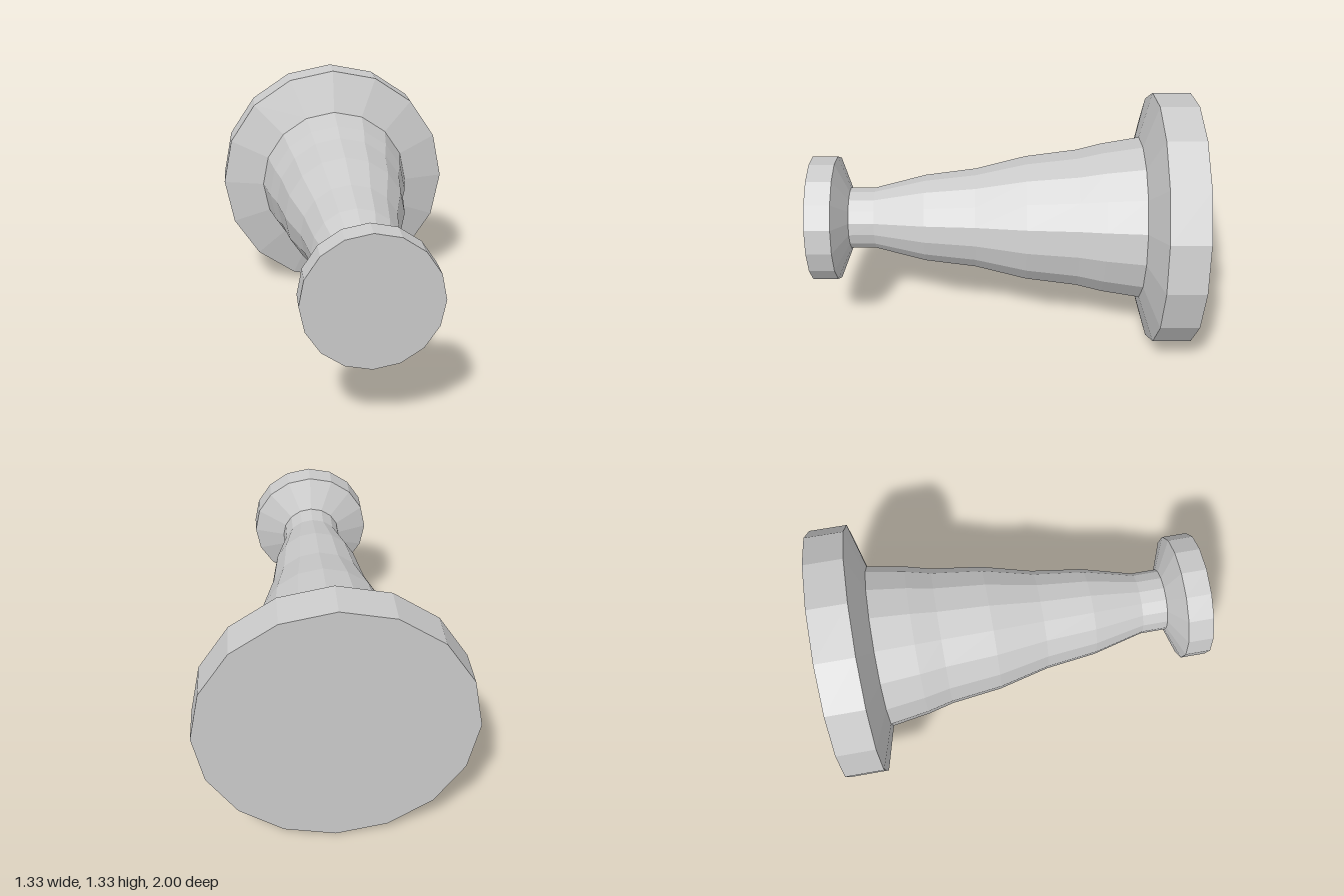
import * as THREE from 'three';

const SIDES = 16;
const AXIS_HEIGHT = 0.667;

export function createModel() {
  const group = new THREE.Group();
  group.name = 'flaredSpindle';
  const material = new THREE.MeshStandardMaterial({ color: 0xcccccc, flatShading: true });

  // Turned part: profile of [radius, z] from back to front, axis laid along z
  function turned(name, profile) {
    const points = profile.map(([r, z]) => new THREE.Vector2(r, z));
    const geometry = new THREE.LatheGeometry(points, SIDES);
    geometry.rotateX(Math.PI / 2);
    geometry.translate(0, AXIS_HEIGHT, 0);
    const mesh = new THREE.Mesh(geometry, material);
    mesh.name = name;
    group.add(mesh);
  }

  // Wide disc at the back with a bevelled front edge
  turned('baseFlange', [[0, -1], [0.667, -1], [0.667, -0.8], [0.433, -0.733]]);

  // Gently stepped tapering body ending in a straight neck
  turned('taperedBody', [
    [0.433, -0.733], [0.4, -0.533], [0.367, -0.4], [0.333, -0.133],
    [0.267, 0.133], [0.233, 0.4], [0.165, 0.667], [0.165, 0.8],
  ]);

  // Small disc at the front with a bevelled back edge
  turned('frontCap', [[0.165, 0.8], [0.333, 0.867], [0.333, 1], [0, 1]]);

  return group;
}
